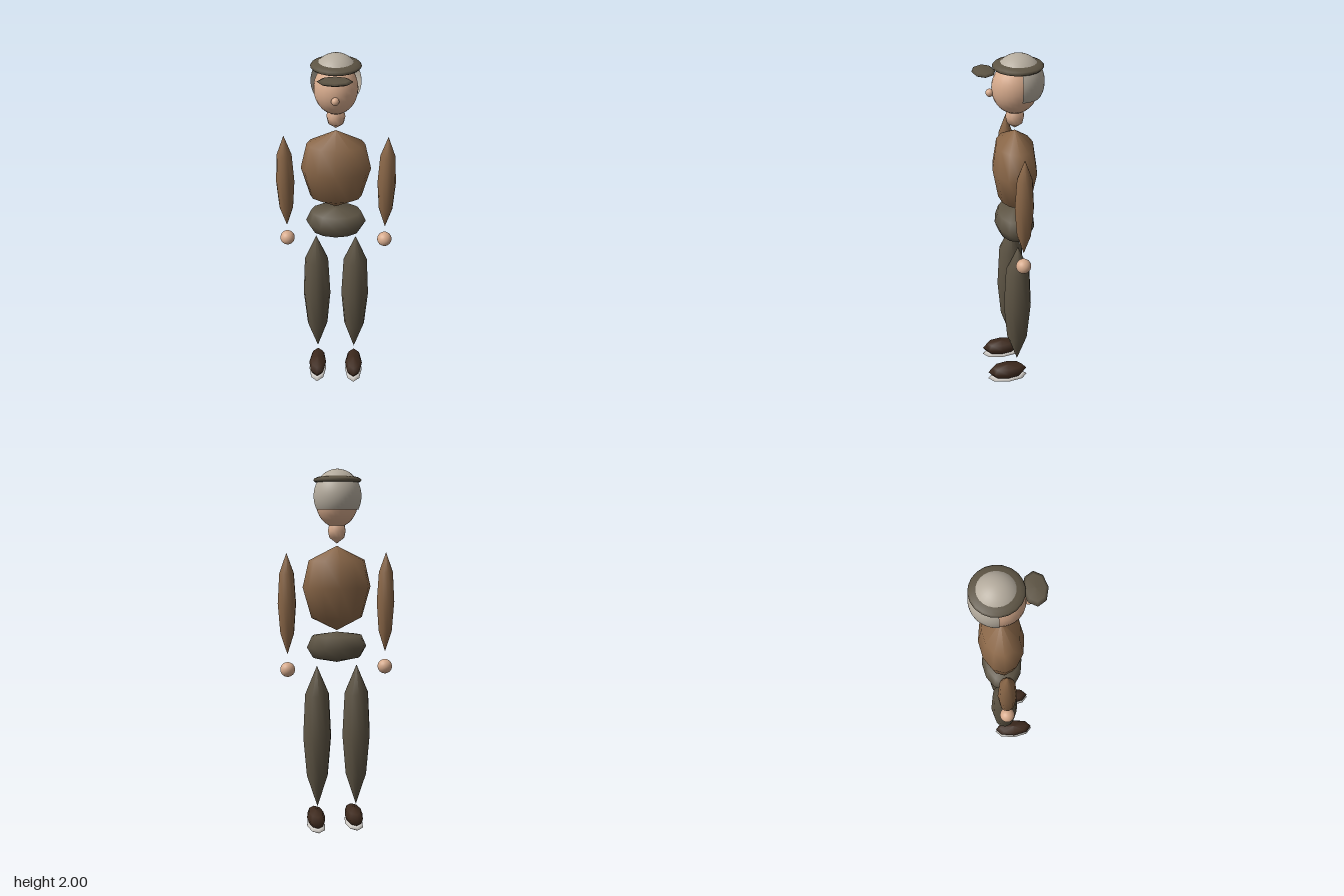
import * as THREE from 'three';

const mat = (name, color) => {
  const m = new THREE.MeshStandardMaterial({ color });
  m.name = name;
  return m;
};

export function createModel() {
  const root = new THREE.Group();
  root.name = 'figure';

  const skin = mat('skin', 0xd6aa8c);
  const jacket = mat('jacket brown', 0x8a6748);
  const cloth = mat('dark olive cloth', 0x5d5444);
  const grey = mat('pale grey', 0xb5ac9e);
  grey.side = THREE.DoubleSide;
  const leather = mat('dark leather', 0x3e2a1e);
  const sole = mat('sole white', 0xd9d5cf);

  const Z = -0.035; // depth of the body axis

  function add(name, geo, material, pos, scale = [1, 1, 1]) {
    const mesh = new THREE.Mesh(geo, material);
    mesh.name = name;
    mesh.position.set(...pos);
    mesh.scale.set(...scale);
    root.add(mesh);
    return mesh;
  }
  // low-sided solid of revolution, profile of [radius, height] from bottom to top
  const lathe = (points, sides) =>
    new THREE.LatheGeometry(points.map(p => new THREE.Vector2(...p)), sides);
  const ball = new THREE.SphereGeometry(1, 24, 16);
  const pebble = lathe([[0, -1], [0.78, -0.75], [1, 0], [0.78, 0.75], [0, 1]], 8);

  // head, nose and neck
  add('head', ball, skin, [0, 1.83, Z], [0.111, 0.13, 0.117]);
  add('nose', ball, skin, [0, 1.812, 0.091], [0.02, 0.02, 0.02]);
  add('neck', lathe([[0, 1.615], [0.04, 1.645], [0.048, 1.68], [0.04, 1.722], [0, 1.75]], 12),
    skin, [0, 0, Z]);

  // hair: shell round the back of the head, reaching the ears
  const shell = [0.126, 0.14, 0.129];
  add('hair', new THREE.SphereGeometry(1, 20, 12, Math.PI, Math.PI, 0.85, 1.24),
    grey, [0, 1.86, -0.052], shell);

  // cap: pale crown, rolled band and visor
  add('capCrown', new THREE.SphereGeometry(1, 24, 8, 0, Math.PI * 2, 0, 0.95),
    grey, [0, 1.86, -0.052], shell);
  add('capBand', new THREE.SphereGeometry(1, 20, 10), cloth, [0, 1.942, -0.05], [0.127, 0.027, 0.127]);
  add('capVisor', pebble, cloth, [0, 1.925, 0.12], [0.087, 0.011, 0.058]);

  // torso and hips
  add('torso', lathe([[0, 1.15], [0.75, 1.22], [1, 1.385], [0.82, 1.527], [0, 1.603]], 12),
    jacket, [0, 0, Z], [0.185, 1, 0.117]);
  add('hips', lathe([[0, 0.975], [0.8, 1.003], [1, 1.06], [0.83, 1.122], [0, 1.142]], 12),
    cloth, [0, 0, Z], [0.164, 1, 0.108]);

  // limbs, mirrored
  const arm = lathe([[0, 1.025], [0.037, 1.14], [0.049, 1.3], [0.039, 1.46], [0, 1.568]], 12);
  const leg = lathe([[0, 0.15], [0.059, 0.335], [0.078, 0.56], [0.066, 0.8], [0, 0.957]], 12);
  for (const [side, s] of [['left', 1], ['right', -1]]) {
    add(side + 'Arm', arm, jacket, [s * 0.27, 0, Z]);
    add(side + 'Hand', ball, skin, [s * 0.27, 0.942, Z], [0.04, 0.04, 0.04]);
    add(side + 'Leg', leg, cloth, [s * 0.11, 0, Z]);
    add(side + 'Shoe', pebble, leather, [s * 0.11, 0.063, 0.023], [0.052, 0.044, 0.116]);
    add(side + 'Sole', pebble, sole, [s * 0.11, 0.015, 0.023], [0.052, 0.015, 0.119]);
  }

  return root;
}
